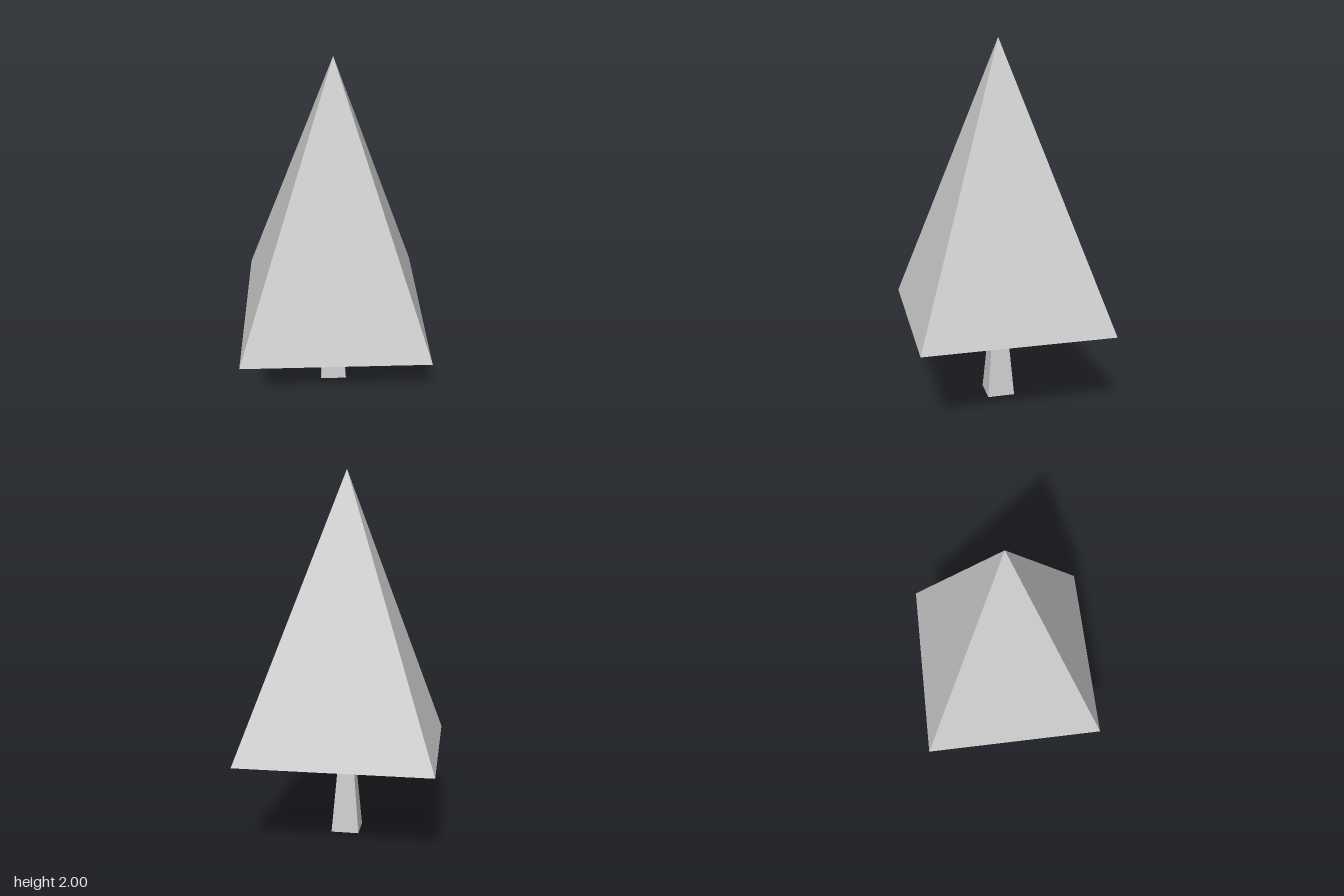
import * as THREE from 'three';

export function createModel() {
  const group = new THREE.Group();
  group.name = 'tree';
  const grey = new THREE.MeshStandardMaterial({ color: 0xcccccc, flatShading: true });
  grey.name = 'plain grey';

  // Four-sided tapered part with its corners on the x and z axes
  function addTaper(name, topRadius, bottomRadius, bottom, top) {
    const geometry = new THREE.CylinderGeometry(topRadius, bottomRadius, top - bottom, 4);
    const mesh = new THREE.Mesh(geometry, grey);
    mesh.name = name;
    mesh.position.y = (bottom + top) / 2;
    group.add(mesh);
  }

  addTaper('trunk', 0.05, 0.108, 0, 0.487);
  addTaper('foliage', 0, 0.725, 0.487, 2);
  return group;
}
